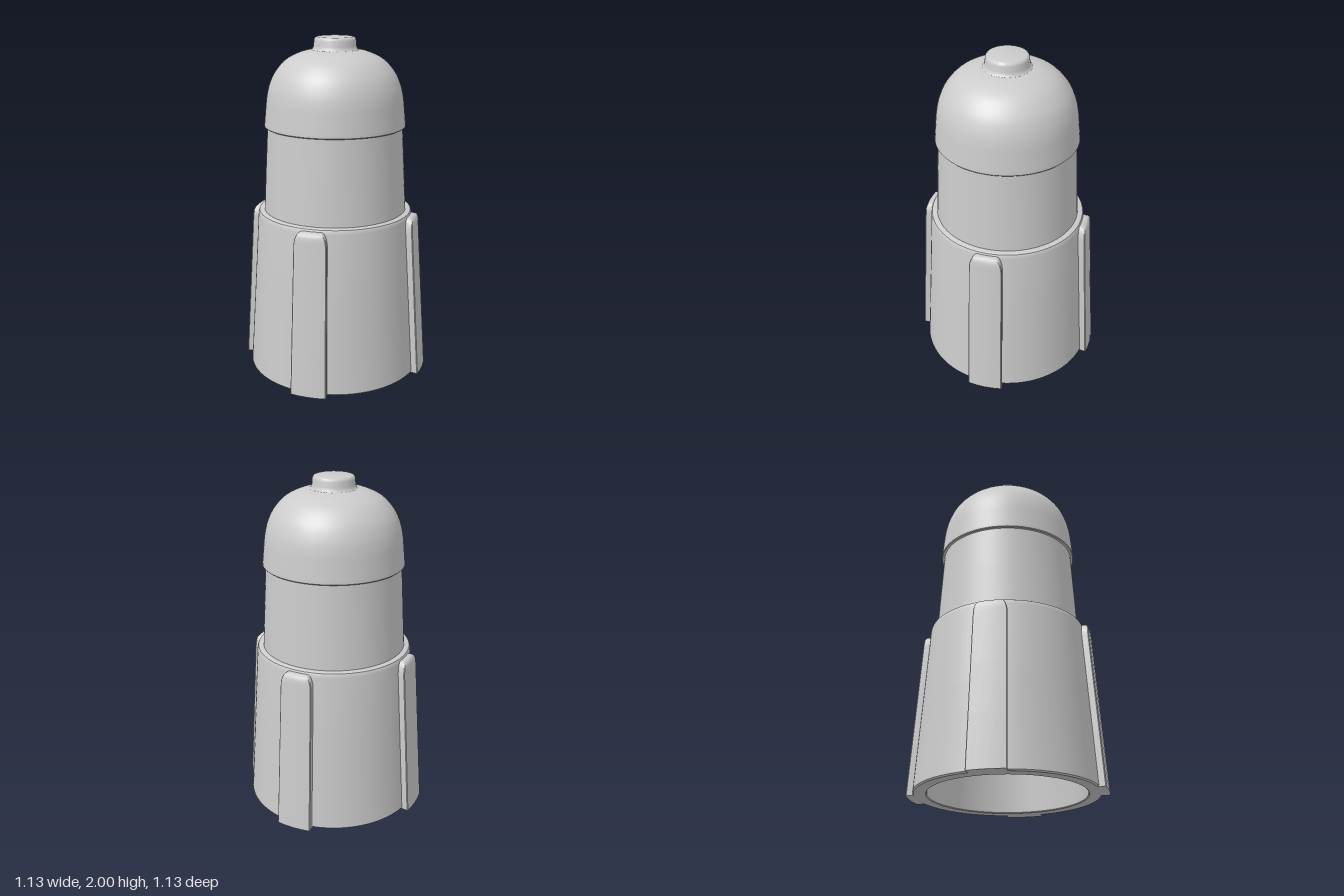
import * as THREE from 'three';
import { toCreasedNormals } from 'three/addons/utils/BufferGeometryUtils.js';

const material = new THREE.MeshStandardMaterial({ color: 0xcccccc });
const CREASE = 0.6;

// Skirt radius at height y
const skirtRadius = (y) => 0.525 - 0.065 * (y / 0.98);

function part(name, geometry) {
  const mesh = new THREE.Mesh(toCreasedNormals(geometry, CREASE), material);
  mesh.name = name;
  return mesh;
}

function lathe(name, points) {
  const profile = points.map((p) => (p.isVector2 ? p : new THREE.Vector2(p[0], p[1])));
  return part(name, new THREE.LatheGeometry(profile, 96));
}

// Smooth run of profile points
const smooth = (points, n) =>
  new THREE.SplineCurve(points.map((p) => new THREE.Vector2(p[0], p[1]))).getPoints(n);

// Grip rib: a grid wrapped over the skirt; columns go around, rows go up
function ribGeometry() {
  const halfAngle = 0.196;
  // [share of half angle, share of depth]
  const columns = [[-1, 0], [-1, 0.8], [-0.985, 0.94], [-0.94, 1], [-0.5, 1], [0, 1],
    [0.5, 1], [0.94, 1], [0.985, 0.94], [1, 0.8], [1, 0]];
  // [height, width scale, depth scale]
  const rows = [[0, 1, 0], [0, 1, 1], [0.3, 1, 1], [0.6, 1, 1], [0.9, 1, 1], [0.925, 0.97, 1],
    [0.945, 0.91, 0.98], [0.96, 0.83, 0.92], [0.97, 0.74, 0.8], [0.974, 0.64, 0.6], [0.974, 0.62, 0]];
  const geometry = new THREE.PlaneGeometry(1, 1, columns.length - 1, rows.length - 1);
  const pos = geometry.attributes.position;
  for (let i = 0; i < pos.count; i++) {
    const [u, d] = columns[i % columns.length];
    const [y, width, depth] = rows[rows.length - 1 - Math.floor(i / columns.length)];
    const angle = u * width * halfAngle;
    const r = skirtRadius(y) - 0.025 + 0.065 * d * depth;
    pos.setXYZ(i, r * Math.sin(angle), y, r * Math.cos(angle));
  }
  return geometry;
}

export function createModel() {
  const model = new THREE.Group();
  model.name = 'cap';

  // Hollow skirt: inner ceiling, inner wall, bottom rim, outer wall, rounded shoulder
  model.add(lathe('skirt', [
    ...smooth([[0, 1.84], [0.16, 1.82], [0.28, 1.74], [0.34, 1.6], [0.36, 1.45]], 20),
    [0.385, 0.98], [0.447, 0.005], [0.452, 0],
    [0.518, 0], [0.525, 0.008], [skirtRadius(0.5), 0.5],
    [0.461, 0.96], [0.459, 0.975], [0.454, 0.985], [0.445, 0.99], [0.40, 0.99],
  ]));

  // Tapered neck
  model.add(lathe('neck', [[0.424, 0.98], [0.41, 1.24], [0.395, 1.5]]));

  // Dome with a small overhanging lip
  model.add(lathe('dome', [
    [0.38, 1.487], [0.409, 1.487], [0.413, 1.492],
    ...smooth([[0.413, 1.5], [0.405, 1.58], [0.396, 1.66], [0.379, 1.73], [0.346, 1.8],
      [0.285, 1.868], [0.21, 1.908], [0.14, 1.926], [0.06, 1.93]], 40),
    [0, 1.93],
  ]));

  // Top button with filleted foot and rounded rim
  model.add(lathe('topButton', [
    [0.14, 1.924], [0.131, 1.93], [0.126, 1.939], [0.123, 1.95], [0.121, 1.98],
    [0.118, 1.99], [0.112, 1.997], [0.102, 2], [0, 2],
  ]));

  // Four grip ribs
  for (let i = 0; i < 4; i++) {
    const rib = part('gripRib', ribGeometry());
    rib.rotation.y = (i * Math.PI) / 2;
    model.add(rib);
  }
  return model;
}
